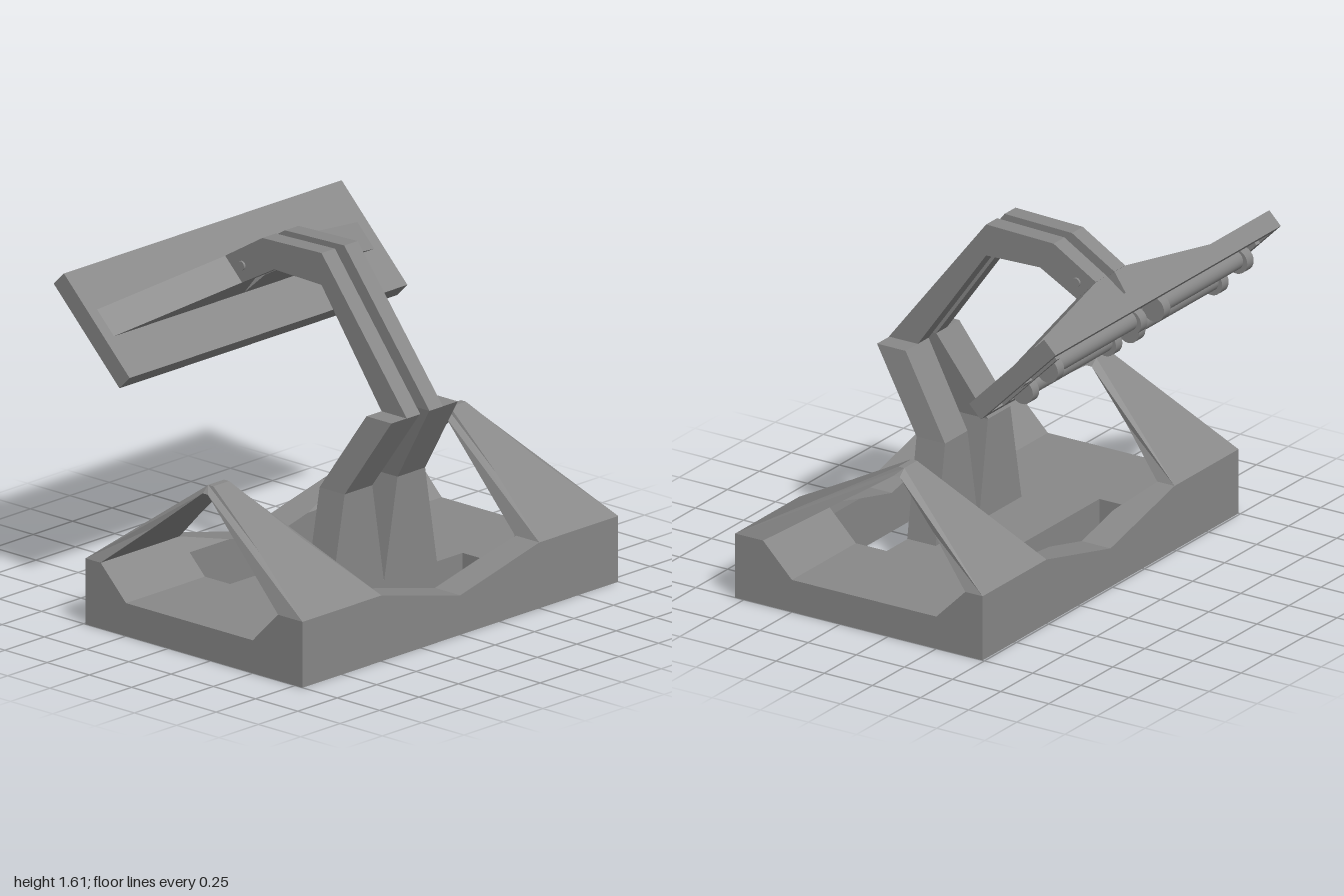
import * as THREE from 'three';

const mat = new THREE.MeshStandardMaterial({ color: 0x888888, flatShading: true });
const smoothMat = new THREE.MeshStandardMaterial({ color: 0x888888 });

function add(parent, name, geometry, material = mat) {
  const mesh = new THREE.Mesh(geometry, material);
  mesh.name = name;
  parent.add(mesh);
  return mesh;
}

function box(parent, name, w, h, d, x, y, z) {
  const mesh = add(parent, name, new THREE.BoxGeometry(w, h, d));
  mesh.position.set(x, y, z);
  return mesh;
}

// Round bar lying along x
function bar(parent, name, radius, length, x, y, z) {
  const geo = new THREE.CylinderGeometry(radius, radius, length, 24).rotateZ(Math.PI / 2);
  add(parent, name, geo, smoothMat).position.set(x, y, z);
}

function outline(points, hole) {
  const shape = new THREE.Shape(points.map(p => new THREE.Vector2(...p)));
  if (hole) shape.holes.push(new THREE.Path(hole.map(p => new THREE.Vector2(...p))));
  return shape;
}

// Extrude a shape by a depth, centred on its plane
function slab(shape, depth) {
  return new THREE.ExtrudeGeometry(shape, { depth, bevelEnabled: false }).translate(0, 0, -depth / 2);
}

// Same, for a profile drawn in (z, y) and extruded along x
const sideSlab = (shape, width) => slab(shape, width).rotateY(-Math.PI / 2);

// Arched side frame, pinched in a hollow curve towards its peak
function archGeometry() {
  const geo = sideSlab(outline(
    [[0.795, 0], [0.795, 0.3], [0.437, 0.504], [0.08, 0.708], [0.05, 0.708],
      [-0.22, 0.504], [-0.49, 0.3], [-0.49, 0]],
    [[0.65, 0.3], [0.5, 0.15], [-0.25, 0.15], [-0.4, 0.3], [-0.175, 0.489],
      [0.05, 0.678], [0.08, 0.678], [0.365, 0.489]]), 2);
  const halfWidths = [[0.7, 0.05], [0.67, 0.085], [0.5, 0.135], [0.4, 0.155], [-1, 0.25]];
  const pos = geo.attributes.position;
  for (let i = 0; i < pos.count; i++) {
    const half = halfWidths.find(([minY]) => pos.getY(i) > minY)[1];
    pos.setX(i, pos.getX(i) * half);
  }
  geo.computeVertexNormals();
  return geo;
}

// End wall dipping to a shallow V; its inner top edge leans outwards by `lean`
function wallGeometry(lean) {
  const geo = slab(outline([[-0.5, 0], [0.5, 0], [0.5, 0.24], [0.5, 0.3], [0.25, 0.24],
    [0, 0.18], [-0.25, 0.24], [-0.5, 0.3], [-0.5, 0.24]]), 0.15);
  const pos = geo.attributes.position;
  for (let i = 0; i < pos.count; i++) {
    if (pos.getY(i) > 0.29 && pos.getZ(i) > 0) pos.setZ(i, pos.getZ(i) - lean);
  }
  geo.computeVertexNormals();
  return geo;
}

// Tapered lower support: a box whose three levels follow [y, inner x, outer x, back z]
function supportGeometry(side) {
  const levels = [[0.14, 0, 0.337, 0.195], [0.6, 0.08, 0.255, 0.2], [0.965, 0.03, 0.21, 0.435]];
  const geo = new THREE.BoxGeometry(1, 2, 1, 1, 2, 1).toNonIndexed();
  const pos = geo.attributes.position;
  for (let i = 0; i < pos.count; i++) {
    const [y, inner, outer, back] = levels[Math.round(pos.getY(i) + 1)];
    const x = side * (inner + outer) / 2 + pos.getX(i) * (outer - inner);
    pos.setXYZ(i, x, y, back + (pos.getZ(i) + 0.5) * 0.148);
  }
  geo.computeVertexNormals();
  return geo;
}

function createBase() {
  const base = new THREE.Group();
  base.name = 'base';
  for (const side of [-1, 1]) {
    add(base, 'sideArch', archGeometry()).position.x = side * 0.75;
  }
  const front = add(base, 'frontWall', wallGeometry(0.01));
  front.position.z = 0.72;
  front.rotation.y = Math.PI;
  add(base, 'backWall', wallGeometry(0.06)).position.z = -0.415;
  box(base, 'floor', 1, 0.15, 0.44, 0, 0.075, 0.12);
  return base;
}

function createArm() {
  const arm = new THREE.Group();
  arm.name = 'arm';
  const profile = outline([
    [0.585, 0.965], [0.08, 1.605], [-0.27, 1.595], [-0.49, 1.465],
    [-0.39, 1.365], [-0.2, 1.468], [0.08, 1.46], [0.435, 0.965]]);
  for (const side of [-1, 1]) {
    add(arm, 'lowerSupport', supportGeometry(side));
    add(arm, 'upperArm', sideSlab(profile, 0.085)).position.x = side * 0.072;
  }
  bar(arm, 'hingePin', 0.021, 0.25, 0, 1.443, -0.39);
  return arm;
}

// Lamp head, built flat with +z towards the arm, then tilted
function createHead() {
  const head = new THREE.Group();
  head.name = 'lampHead';
  box(head, 'cover', 1.76, 0.55, 0.03, 0, 0, -0.015);

  // Rim around the open underside
  const rim = outline(
    [[-0.88, -0.275], [0.88, -0.275], [0.88, 0.275], [-0.88, 0.275]],
    [[-0.84, -0.235], [0.84, -0.235], [0.84, 0.235], [-0.84, 0.235]]);
  add(head, 'rim', slab(rim, 0.06)).position.z = -0.055;

  // Long tapering bracket with a notch between the two arms
  const bracket = outline([[-0.825, 0], [0, 0], [0.825, 0], [0.115, 0.134], [0.03, 0.134],
    [0, 0.002], [-0.03, 0.134], [-0.115, 0.134]]);
  add(head, 'bracket', slab(bracket, 0.141).rotateX(Math.PI / 2));

  // Two rows of paired tubes with wider end caps and holders
  for (const side of [-1, 1]) {
    for (const row of [-1, 1]) {
      bar(head, 'tube', 0.045, 0.69, side * 0.415, row * 0.09, -0.085);
      for (const end of [-1, 1]) {
        bar(head, 'tubeCap', 0.057, 0.05, side * 0.415 + end * 0.325, row * 0.092, -0.096);
      }
    }
    box(head, 'endHolder', 0.03, 0.39, 0.065, side * 0.78, 0, -0.0605);
    box(head, 'sideClip', 0.05, 0.04, 0.06, side * 0.82, 0, -0.06);
  }

  head.position.set(0, 1.32, -0.535);
  head.rotation.x = -Math.PI / 4;
  return head;
}

export function createModel() {
  const model = new THREE.Group();
  model.name = 'deskLamp';
  model.add(createBase(), createArm(), createHead());
  return model;
}
